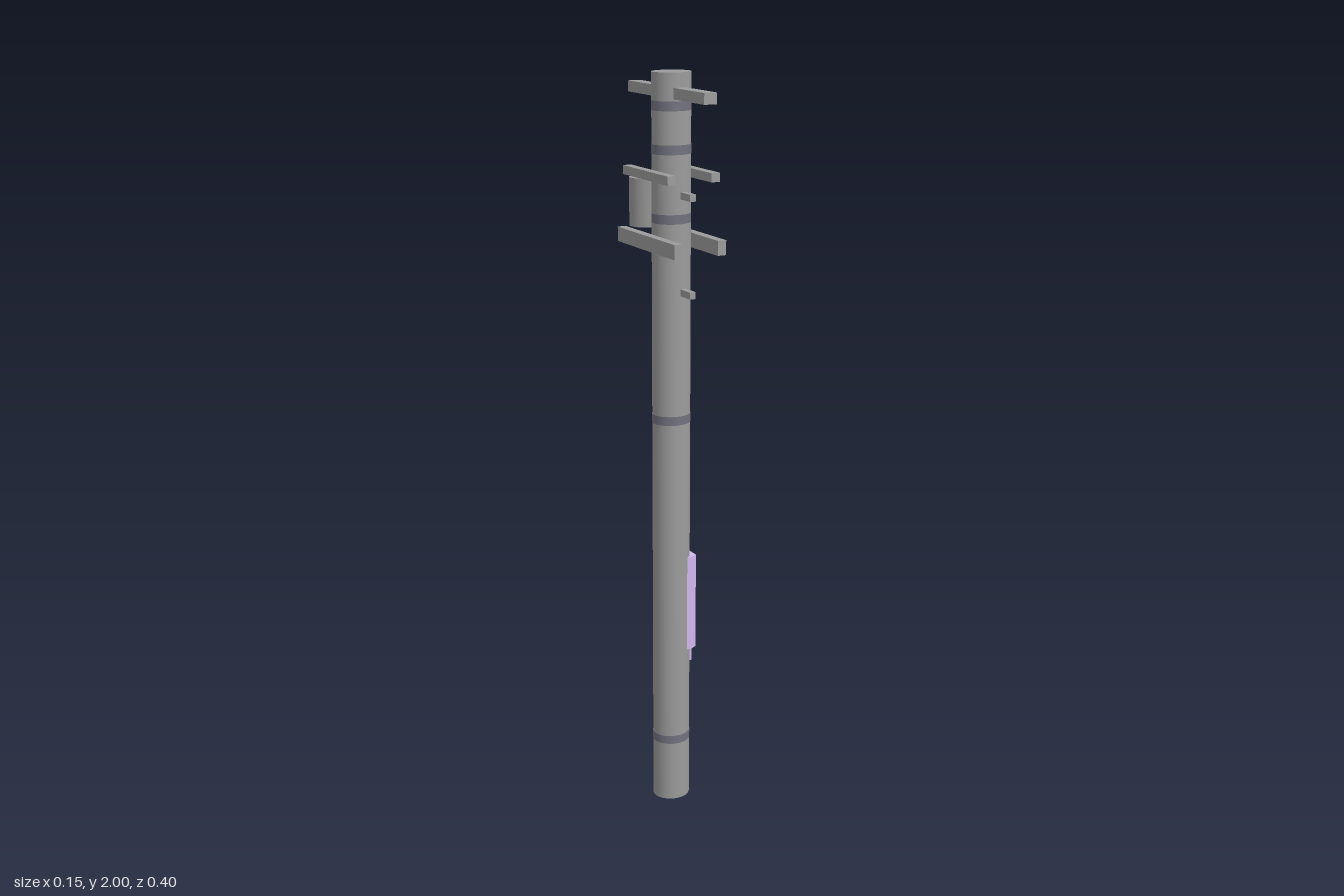
import * as THREE from 'three';

const grey = new THREE.MeshStandardMaterial({ color: 0x9c9c9c });
const bandMat = new THREE.MeshStandardMaterial({ color: 0x727280 });
const violet = new THREE.MeshStandardMaterial({ color: 0xd3b6f0 });

export function createModel() {
  const group = new THREE.Group();

  const add = (name, geometry, material = grey) => {
    const mesh = new THREE.Mesh(geometry, material);
    mesh.name = name;
    group.add(mesh);
    return mesh;
  };

  // Box given by its extents on each axis
  const box = (name, [x0, x1], [y0, y1], [z0, z1]) =>
    add(name, new THREE.BoxGeometry(x1 - x0, y1 - y0, z1 - z0))
      .position.set((x0 + x1) / 2, (y0 + y1) / 2, (z0 + z1) / 2);

  // Upright cylinder with an oval footprint
  const drum = (name, rx, rz, y0, y1, z, material) => {
    const mesh = add(name, new THREE.CylinderGeometry(1, 1, y1 - y0, 40), material);
    mesh.scale.set(rx, 1, rz);
    mesh.position.set(0, (y0 + y1) / 2, z);
  };

  // Upright prism from an outline of [x, z] points
  const prism = (name, outline, y0, y1, material) => {
    const shape = new THREE.Shape(outline.map(([x, z]) => new THREE.Vector2(x, -z)));
    const geometry = new THREE.ExtrudeGeometry(shape, { depth: y1 - y0, bevelEnabled: false });
    geometry.rotateX(-Math.PI / 2);
    add(name, geometry, material).position.y = y0;
  };

  // Pole and its metal bands
  drum('pole', 0.051, 0.047, 0, 2, 0.002);
  for (const y of [0.183, 1.106, 1.636, 1.81, 1.918]) {
    drum('band', 0.0516, 0.0476, y - 0.012, y + 0.012, 0.002, bandMat);
  }

  // Transformer can behind the pole
  drum('transformer', 0.065, 0.052, 1.603, 1.728, -0.096);

  // Single top crossarm, then paired arms clasping the pole
  box('topCrossarm', [-0.018, 0.017], [1.935, 1.963], [-0.2, 0.2]);
  for (const [x0, x1] of [[-0.074, -0.051], [0.05, 0.074]]) {
    box('upperCrossarm', [x0, x1], [1.735, 1.758], [-0.121, 0.12]);
    box('lowerCrossarm', [x0, x1], [1.556, 1.594], [-0.155, 0.154]);
  }

  // Climbing pegs
  for (const y of [1.448, 1.696]) {
    box('frontPeg', [0.001, 0.018], [y - 0.009, y + 0.009], [0.03, 0.099]);
  }
  for (const y of [1.39, 1.507, 1.846]) {
    box('backPeg', [0.001, 0.018], [y - 0.009, y + 0.009], [-0.087, -0.03]);
  }

  // Faceted plate wrapped on the left side, with a small tab below
  prism('signPlate', [
    [0.028, 0.041], [0.043, 0.041], [0.06, 0.032],
    [0.06, -0.022], [0.052, -0.028], [0.028, -0.028],
  ], 0.445, 0.715, violet);
  prism('signTab', [
    [0.03, 0], [0.066, 0], [0.066, -0.028], [0.05, -0.036], [0.03, -0.036],
  ], 0.39, 0.447, violet);

  return group;
}
